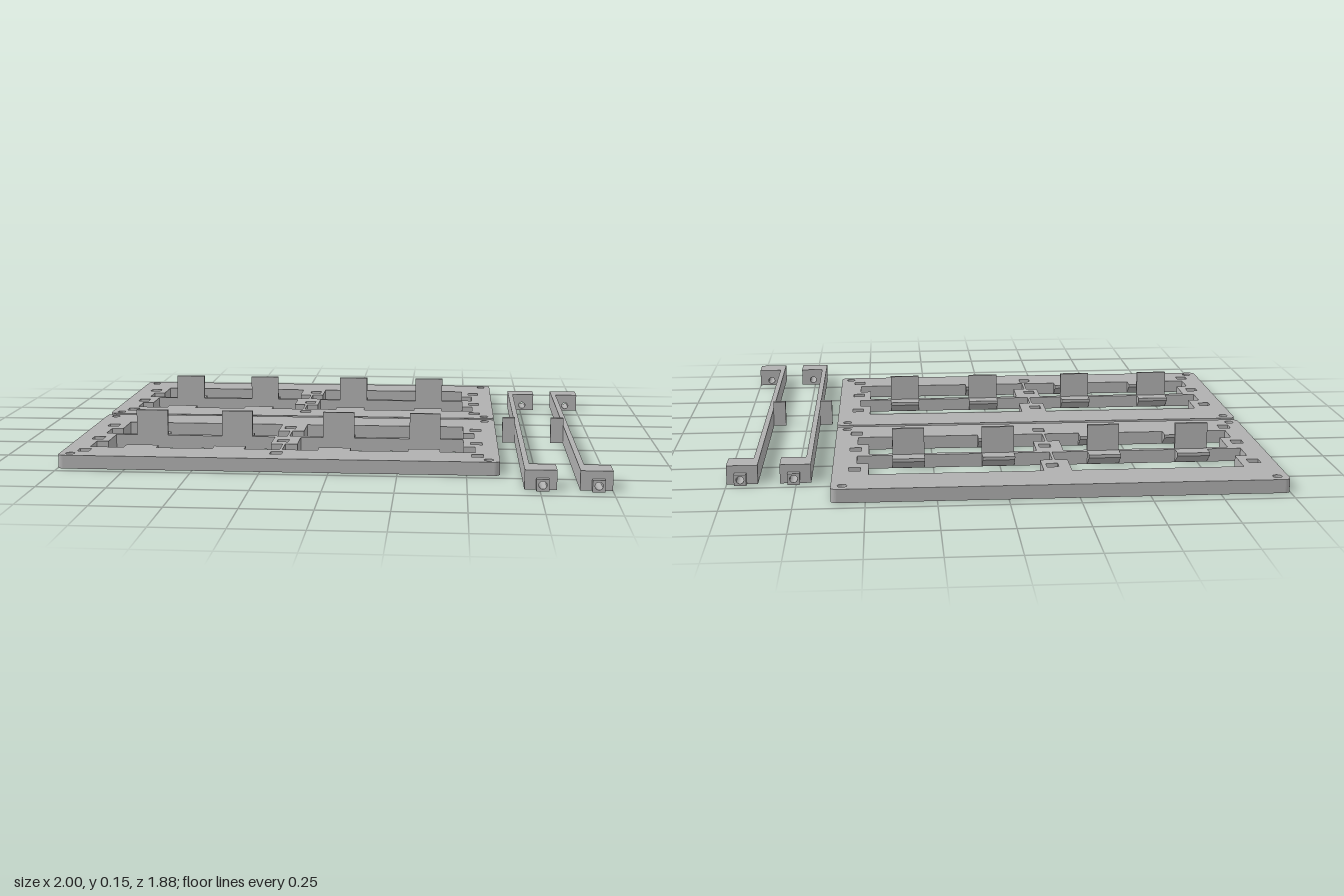
import * as THREE from 'three';

const grey = new THREE.MeshStandardMaterial({ color: 0xb0b0b0 });
grey.name = 'plain grey';

function add(parent, name, geometry) {
  const mesh = new THREE.Mesh(geometry, grey);
  mesh.name = name;
  parent.add(mesh);
  return mesh;
}

function box(parent, name, x0, x1, y0, y1, z0, z1) {
  const g = new THREE.BoxGeometry(x1 - x0, y1 - y0, z1 - z0);
  g.translate((x0 + x1) / 2, (y0 + y1) / 2, (z0 + z1) / 2);
  return add(parent, name, g);
}

// Closed outline from plan points [x, z]
const outline = (pts) => new THREE.Path(pts.map(([x, z]) => new THREE.Vector2(x, -z)));

const squareHole = (x, z, h) => outline([[x - h, z - h], [x + h, z - h], [x + h, z + h], [x - h, z + h]]);

function roundHole(x, z, r) {
  const p = new THREE.Path();
  p.absarc(x, -z, r, 0, Math.PI * 2, true);
  return p;
}

const T = 0.05; // panel thickness
const TAB_X = [[-0.787, -0.664], [-0.45, -0.33], [-0.053, 0.068], [0.283, 0.402]];

// Rounded plate with stepped windows, bolt holes and square sockets
function panelGeometry(middleX) {
  const x0 = -1, x1 = 0.62, y0 = -0.713, y1 = 0.103, r = 0.022;
  const s = new THREE.Shape();
  s.absarc(x1 - r, y1 - r, r, 0, Math.PI / 2);
  s.absarc(x0 + r, y1 - r, r, Math.PI / 2, Math.PI);
  s.absarc(x0 + r, y0 + r, r, Math.PI, Math.PI * 1.5);
  s.absarc(x1 - r, y0 + r, r, Math.PI * 1.5, Math.PI * 2);
  s.closePath();
  // window: narrow at the back, wider at the front
  for (const [na, nb, wa, wb] of [[-0.87, -0.242, -0.915, -0.196], [-0.14, 0.49, -0.186, 0.533]]) {
    for (const [za, zm, zb] of [[0.065, 0.2, 0.298], [0.32, 0.452, 0.553]]) {
      s.holes.push(outline([[na, za], [nb, za], [nb, zm], [wb, zm], [wb, zb], [wa, zb], [wa, zm], [na, zm]]));
    }
  }
  for (const x of [-0.96, 0.58]) for (const z of [-0.062, 0.675]) s.holes.push(roundHole(x, z, 0.017));
  for (const x of [-0.923, middleX, 0.54]) {
    for (const z of [0.131, 0.388, 0.61]) s.holes.push(squareHole(x, z, 0.022));
  }
  const g = new THREE.ExtrudeGeometry(s, { depth: T, bevelEnabled: false, curveSegments: 8 });
  return g.rotateX(-Math.PI / 2);
}

// Ledge with flat top and sloping underside, reaching back from z
function ledge(parent, x0, x1, z) {
  const s = new THREE.Shape([[0, 0], [0, T], [-0.05, T], [-0.05, T - 0.012]].map(([a, b]) => new THREE.Vector2(-a, b)));
  const g = new THREE.ExtrudeGeometry(s, { depth: x1 - x0, bevelEnabled: false });
  // profile x runs towards -z, depth runs along +x
  g.rotateY(Math.PI / 2).translate(x0, 0, z);
  add(parent, 'ledge', g);
}

function panel(name, middleX, z) {
  const group = new THREE.Group();
  group.name = name;
  add(group, 'panelPlate', panelGeometry(middleX));
  for (const [a, b] of TAB_X) {
    box(group, 'uprightTab', a, b, T, 0.15, 0.307, 0.32);
    ledge(group, a, b, 0.299);
    ledge(group, a, b, 0.554);
  }
  group.position.z = z;
  return group;
}

// Block profile in x/y with a bore, extruded along z
function boredBlock(parent, name, x0, x1, h, boreX, z0, z1) {
  const s = new THREE.Shape([[x0, 0], [x1, 0], [x1, h], [x0, h]].map(([x, y]) => new THREE.Vector2(x, y)));
  s.holes.push(roundHole(boreX, -0.022, 0.014));
  const g = new THREE.ExtrudeGeometry(s, { depth: z1 - z0, bevelEnabled: false, curveSegments: 8 });
  add(parent, name, g.translate(0, 0, z0));
}

// Long thin bar with a bored block and pivot at both ends
function rod(name, x) {
  const group = new THREE.Group();
  group.name = name;
  box(group, 'bar', 0, 0.02, 0, 0.07, -0.605, 0.815);
  boredBlock(group, 'backBlock', 0, 0.112, 0.07, 0.062, -0.7, -0.605);
  boredBlock(group, 'frontBlock', 0, 0.112, 0.07, 0.062, 0.815, 0.913);
  boredBlock(group, 'backPivot', 0.04, 0.084, 0.042, 0.062, -0.722, -0.7);
  boredBlock(group, 'frontPivot', 0.04, 0.084, 0.042, 0.062, 0.913, 0.937);
  box(group, 'handleTab', -0.05, 0, 0, 0.1, 0.097, 0.117);
  group.position.x = x;
  return group;
}

export function createModel() {
  const model = new THREE.Group();
  model.name = 'panelSet';
  model.add(
    panel('frontPanel', -0.202, 0),
    panel('backPanel', -0.178, -0.84),
    rod('innerRod', 0.697),
    rod('outerRod', 0.888),
  );
  return model;
}
